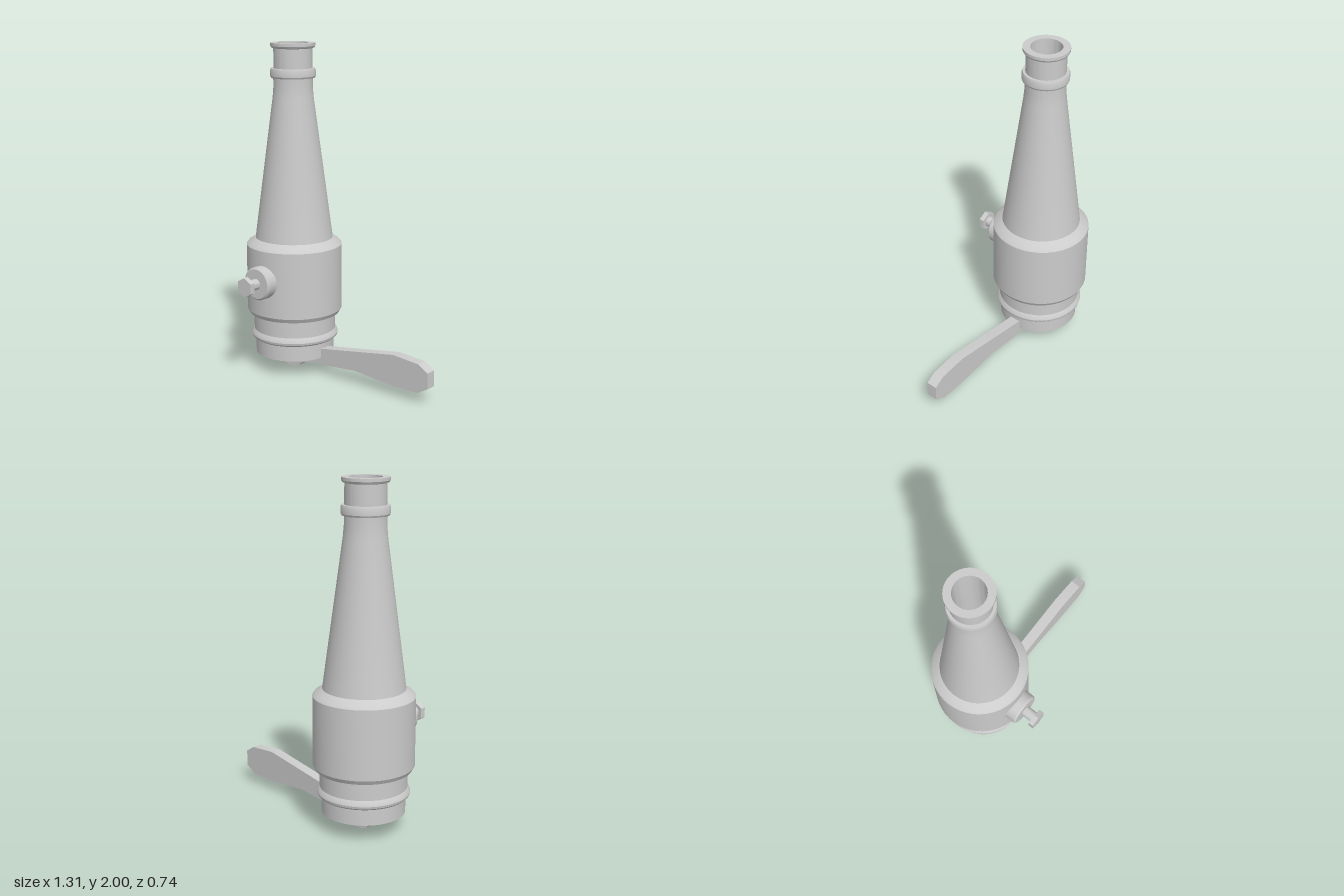
import * as THREE from 'three';
import { toCreasedNormals } from 'three/addons/utils/BufferGeometryUtils.js';

const AXIS_X = -0.37, AXIS_Z = -0.08;

export function createModel() {
  const model = new THREE.Group();
  model.name = 'hoseNozzle';
  const material = new THREE.MeshStandardMaterial({ color: 0xcccccc });

  const add = (name, geometry, parent) => {
    const mesh = new THREE.Mesh(toCreasedNormals(geometry, 0.45), material);
    mesh.name = name;
    parent.add(mesh);
    return mesh;
  };
  const lathe = (points, segments = 72) =>
    new THREE.LatheGeometry(points.map(([r, y]) => new THREE.Vector2(r, y)), segments);

  // Everything is placed around the barrel axis
  const nozzle = new THREE.Group();
  nozzle.name = 'nozzle';
  nozzle.position.set(AXIS_X, 0, AXIS_Z);
  model.add(nozzle);

  // Barrel: outer wall upwards, then the bore back down
  add('barrel', lathe([
    [0.14, 0.105], [0.24, 0.105], [0.24, 0.2],
    [0.254, 0.203], [0.263, 0.212], [0.266, 0.225], [0.262, 0.238], [0.25, 0.255],
    [0.25, 0.36], [0.276, 0.36], [0.29, 0.385],
    [0.29, 0.788], [0.278, 0.803], [0.235, 0.83],
    [0.122, 1.68], [0.117, 1.74], [0.117, 1.795],
    [0.13, 1.795], [0.135, 1.805], [0.135, 1.84], [0.13, 1.852], [0.115, 1.852],
    [0.115, 1.968], [0.127, 1.972], [0.133, 1.982], [0.133, 2],
    [0.09, 2], [0.09, 1.68], [0.14, 0.83], [0.14, 0.105],
  ]), nozzle);

  // Side screw: round boss, shank and hexagonal head, pointing to the front
  const screw = new THREE.Group();
  screw.name = 'sideScrew';
  screw.position.y = 0.6;
  screw.rotation.x = Math.PI / 2;
  nozzle.add(screw);
  add('boss', lathe([[0.1, 0.24], [0.1, 0.335], [0.09, 0.345], [0, 0.345]], 48), screw);
  const shank = new THREE.CylinderGeometry(0.033, 0.033, 0.1, 32);
  add('shank', shank.translate(0, 0.375, 0), screw);
  const head = new THREE.CylinderGeometry(0.06, 0.06, 0.032, 6);
  add('hexHead', head.translate(0, 0.43, 0), screw);

  // Lever: pierced eye at the axis with a paddle-shaped handle
  const outline = new THREE.Shape();
  outline.moveTo(0.09, 0.145);
  outline.absarc(0, 0.1, 0.1, 0.46, Math.PI * 2 - 0.72, false);
  [[0.1, 0.047], [0.2, 0.06], [0.5, 0.085], [0.78, 0.06], [0.955, 0.06], [1.025, 0.1],
    [1.025, 0.195], [0.96, 0.235], [0.78, 0.25], [0.24, 0.165]]
    .forEach(([x, y]) => outline.lineTo(x, y));
  outline.closePath();
  const eye = new THREE.Path();
  eye.absarc(0, 0.1, 0.035, 0, Math.PI * 2, true);
  outline.holes.push(eye);
  const lever = new THREE.ExtrudeGeometry(outline, { depth: 0.066, bevelEnabled: false, curveSegments: 32 });
  add('lever', lever.translate(0, 0, -0.033), nozzle);

  return model;
}
